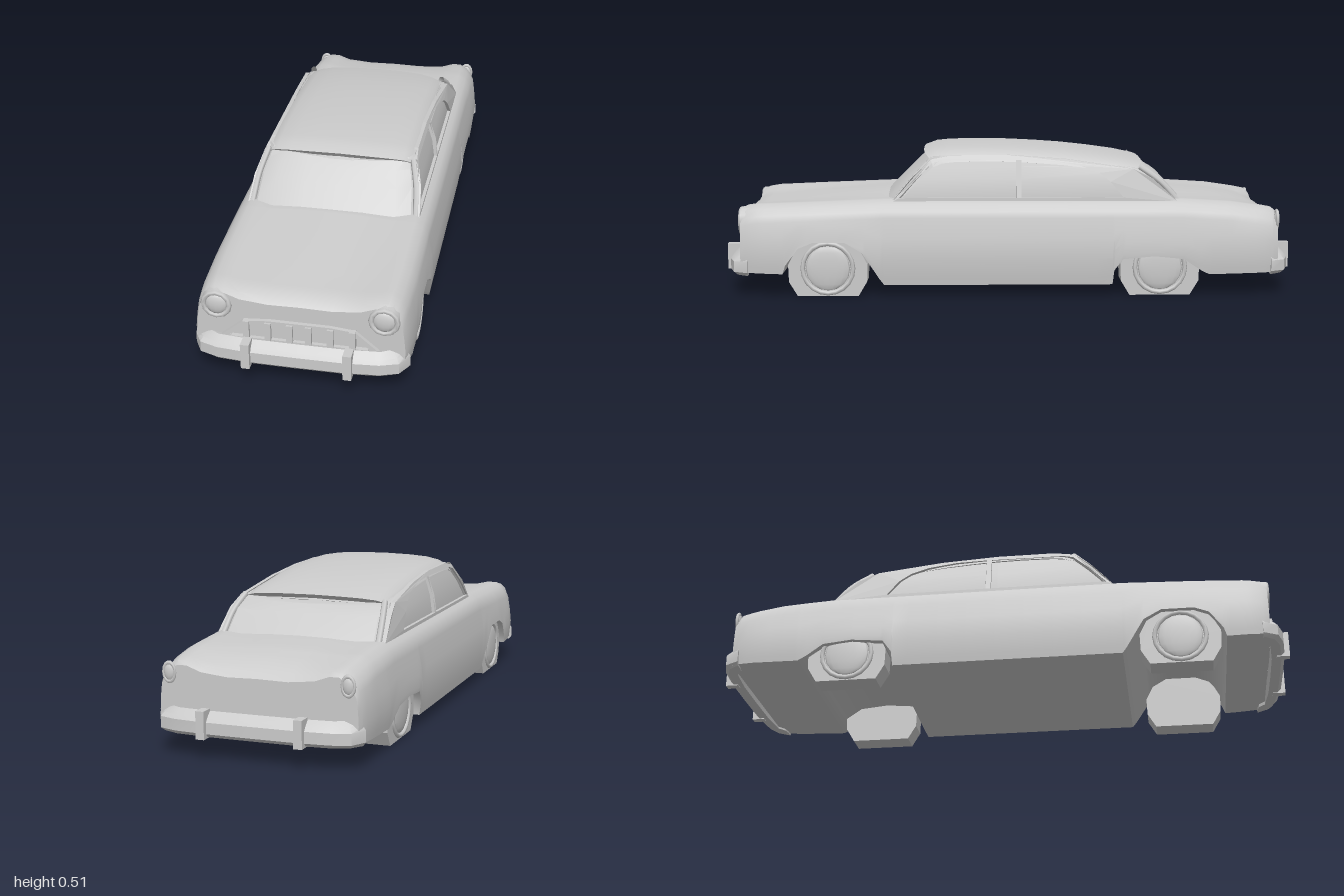
import * as THREE from 'three';
import { toCreasedNormals } from 'three/addons/utils/BufferGeometryUtils.js';

const mat = new THREE.MeshStandardMaterial({ color: 0xcccccc, side: THREE.DoubleSide });

// Linear interpolation in a table of [key, value], keys falling
function at(table, k) {
  if (k >= table[0][0]) return table[0][1];
  for (let i = 1; i < table.length; i++) {
    const [a, va] = table[i - 1], [b, vb] = table[i];
    if (k >= b) return vb + (va - vb) * (k - b) / (a - b);
  }
  return table[table.length - 1][1];
}

// Closed rings joined into a capped solid, turned outward by its signed volume
function loft(rings, crease = 0.6) {
  const n = rings[0].length, pts = rings.flat(), tris = [];
  for (let r = 0; r < rings.length - 1; r++) {
    for (let i = 0; i < n; i++) {
      const a = r * n + i, b = r * n + (i + 1) % n;
      tris.push([a, b, b + n], [a, b + n, a + n]);
    }
  }
  for (const r of [0, rings.length - 1]) {
    const mid = [0, 1, 2].map(k => rings[r].reduce((s, p) => s + p[k], 0) / n);
    const c = pts.push(mid) - 1;
    for (let i = 0; i < n; i++) {
      const a = r * n + i, b = r * n + (i + 1) % n;
      tris.push(r === 0 ? [c, b, a] : [c, a, b]);
    }
  }
  const v = pts.map(p => new THREE.Vector3(...p));
  const volume = tris.reduce((s, [a, b, c]) => s + v[a].dot(v[b].clone().cross(v[c])), 0);
  const g = new THREE.BufferGeometry();
  g.setAttribute('position', new THREE.Float32BufferAttribute(pts.flat(), 3));
  g.setIndex(tris.flatMap(([a, b, c]) => volume < 0 ? [a, c, b] : [a, b, c]));
  return toCreasedNormals(g, crease);
}

// Half section from the middle outward, completed on the other side
const mirrorRing = half => [...half, ...half.slice(1, -1).reverse().map(([x, y, z]) => [-x, y, z])];

const shape = pts => new THREE.Shape(pts.map(p => new THREE.Vector2(...p)));
const extrude = (s, depth) => new THREE.ExtrudeGeometry(s, { depth, bevelEnabled: false });

const BOTTOM = [[.93, .085], [.785, .08], [.775, .11], [.73, .17], [.68, .19], [.57, .19], [.51, .155], [.45, .06],
  [.435, .04], [-.355, .04], [-.36, .09], [-.39, .13], [-.5, .14], [-.6, .13], [-.66, .09], [-.69, .075], [-.93, .08]];
const FENDER = [[.93, .3], [.91, .31], [.87, .316], [.44, .332], [-.6, .331], [-.77, .321], [-.88, .305], [-.915, .298], [-.93, .285]];
const CENTRE = [[.93, .275], [.91, .293], [.87, .303], [.65, .322], [.44, .34], [.3, .333], [-.6, .336], [-.75, .325], [-.85, .306], [-.91, .28], [-.93, .26]];
const WIDTH = [[.93, .945], [.91, .965], [.85, .985], [.7, 1], [-.7, 1], [-.85, .985], [-.91, .96], [-.93, .94]];
const SIDE = [[.31, .315], [.27, .338], [.22, .348], [.15, .356], [.09, .35], [.04, .342]];
const RIDGE = [[.305, .489], [.27, .502], [.22, .507], [.1, .509], [0, .507], [-.1, .502], [-.2, .495], [-.3, .484], [-.4, .469], [-.475, .453]];

// Lower body: sections along the length, with the wheel tunnels in the floor
function bodyGeometry() {
  const zs = new Set([BOTTOM, FENDER, CENTRE, WIDTH].flat().map(p => p[0]));
  for (let z = -.8; z <= .8; z += .1) zs.add(z);
  return loft([...zs].sort((a, b) => b - a).map(z => {
    const yb = at(BOTTOM, z), yf = at(FENDER, z), yc = at(CENTRE, z), w = at(WIDTH, z);
    const half = [[0, yb], [.32, yb]];
    for (const t of [0, .12, .4, .7, 1]) {
      const y = yb + (yf - .06 - yb) * t;
      half.push([at(SIDE, y), y]);
    }
    half.push([.333, yf - .038], [.315, yf - .015], [.288, yf], [.255, yf],
      [.205, yf * .5 + yc * .5 - .005], [.11, yc - .002], [0, yc]);
    return mirrorRing(half.map(([x, y]) => [x * w, y, z]));
  }));
}

const cabinX = y => .297 - 1.55 * Math.max(0, y - .325) ** 2;

// Glass core of the cabin: plan outlines stacked upward
function glassGeometry() {
  const levels = [[.31, .455, -.625], [.335, .435, -.6], [.4, .37, -.54], [.445, .325, -.495], [.47, .3, -.47]];
  return loft(levels.map(([y, zf, zr]) => {
    const w = cabinX(y) - .01;
    const plan = [[0, zf], [.4, zf - .005], [.75, zf - .015], [.93, zf - .035], [1, zf - .06],
      [1, 0], [1, zr + .05], [.9, zr + .02], [.5, zr + .003], [0, zr]];
    return mirrorRing(plan.map(([x, z]) => [x * w, y > .46 ? at(RIDGE, z) - .025 : Math.min(y, at(RIDGE, z) - .027), z]));
  }), .4);
}

// Roof shell with a thin lip, bowed at both ends
function roofGeometry() {
  return loft(RIDGE.map(([z, y]) => {
    const drop = z < -.35 ? .75 : 1;
    const half = [[0, 0], [.1, .002], [.17, .006], [.22, .014], [.245, .024], [.262, .04], [.266, .048], [.25, .05], [.22, .032], [0, .022]];
    return mirrorRing(half.map(([x, d]) => {
      const bow = .035 * (x / .26) ** 4 * THREE.MathUtils.clamp((z + .08) / .38, -1, 1);
      return [x, y - d * drop, z - bow];
    }));
  }));
}

// Cabin side with two window openings, bent to the lean of the cabin
function sideFrameGeometry() {
  const s = shape([[.41, .322], [.345, .4], [.275, .468], [.2, .482], [0, .482], [-.2, .468], [-.43, .435], [-.5, .4], [-.585, .322]]);
  s.holes.push(shape([[.385, .337], [.325, .4], [.27, .455], [.235, .464], [-.022, .466], [-.022, .4], [-.022, .337]]));
  s.holes.push(shape([[-.04, .337], [-.04, .4], [-.04, .466], [-.15, .462], [-.25, .445], [-.31, .422], [-.35, .392], [-.395, .337]]));
  const g = extrude(s, .014).rotateY(-Math.PI / 2), p = g.attributes.position;
  for (let i = 0; i < p.count; i++) p.setX(i, p.getX(i) + cabinX(p.getY(i)) + .001);
  g.computeVertexNormals();
  return g;
}

function tube(pts, r) {
  const curve = new THREE.CatmullRomCurve3(pts.map(p => new THREE.Vector3(...p)));
  return new THREE.TubeGeometry(curve, 12, r, 6);
}

// Bumper: a band bent round in plan, with a slanted upper lip
function bumperGeometry() {
  const plan = [[0, .985], [.15, .984], [.26, .975], [.32, .955], [.348, .905]];
  const ring = (y, back) => plan.map(([x, z]) => [x - (x > .3 ? back * .8 : 0), y, z - (x > .34 ? 0 : back)]);
  const full = h => [...h, ...h.slice(1).map(([x, y, z]) => [-x, y, z])].sort((a, b) => a[0] - b[0]);
  const section = [[.073, .012], [.085, 0], [.122, 0], [.135, .01], [.153, .03], [.148, .045], [.073, .045]];
  const rows = section.map(([y, b]) => full(ring(y, b)));
  return loft(rows[0].map((_, i) => rows.map(r => r[i])), .5);
}

export function createModel() {
  const car = new THREE.Group();
  car.name = 'car';
  const add = (name, g, x = 0, y = 0, z = 0) => {
    const m = new THREE.Mesh(g, mat);
    m.name = name;
    m.position.set(x, y, z);
    car.add(m);
    return m;
  };
  // The same part on the left (+x) and right
  const pair = (name, g, x = 0, y = 0, z = 0) => {
    add(name + 'Left', g, x, y, z);
    add(name + 'Right', g, -x, y, z).scale.x = -1;
  };

  add('body', bodyGeometry());
  add('cabinGlass', glassGeometry());
  add('roof', roofGeometry());
  pair('sideWindowFrame', sideFrameGeometry());
  pair('windscreenPillar', tube([[.284, .325, .4], [.275, .4, .335], [.254, .47, .268]], .011));
  pair('rearWindowPillar', tube([[.275, .325, -.585], [.267, .39, -.525], [.252, .44, -.455]], .011));

  // Headlights in rounded bezels, and upright oval tail lights
  const turn = new THREE.CylinderGeometry(.05, .056, .05, 12, 1).rotateX(Math.PI / 2);
  pair('headlightHousing', turn, .268, .256, .905);
  pair('headlightRing', new THREE.TorusGeometry(.042, .009, 6, 12), .268, .256, .93);
  pair('headlightLens', new THREE.SphereGeometry(.036, 12, 8).scale(1, 1, .35), .268, .256, .929);
  pair('tailLightRing', new THREE.TorusGeometry(.024, .006, 6, 14).scale(.85, 1.25, 1), .3, .26, -.929);
  pair('tailLight', new THREE.SphereGeometry(.024, 12, 8).scale(.8, 1.2, .4), .3, .26, -.928);

  // Grille: surround, cross bar and upright teeth
  const surround = shape([[-.27, .135], [.27, .135], [.18, .212], [.1, .22], [-.1, .22], [-.18, .212]]);
  surround.holes.push(shape([[-.235, .147], [-.17, .2], [.17, .2], [.235, .147]]));
  add('grilleSurround', extrude(surround, .025), 0, 0, .918);
  add('grilleBar', new THREE.BoxGeometry(.35, .044, .016), 0, .178, .93);
  add('grilleLowerBar', new THREE.BoxGeometry(.44, .01, .02), 0, .147, .935);
  for (const x of [.03, .1, .17]) pair('grilleTooth', new THREE.BoxGeometry(.02, .08, .02), x, .174, .94);

  // Bumpers and their upright guards
  for (const [name, s] of [['front', 1], ['rear', -1]]) {
    add(name + 'Bumper', bumperGeometry()).rotation.y = s > 0 ? 0 : Math.PI;
    pair(name + 'BumperGuard', new THREE.BoxGeometry(.028, .09, .045), .163, .115, s * .9775);
  }

  // Wheels: flat-footed tyres with a rim and domed hubcap
  const half = [[.105, 0], [.135, .05], [.137, .11], [.1, .182], [.04, .2]];
  const tyre = extrude(shape([...half, ...half.slice().reverse().map(([z, y]) => [-z, y])]), .085).rotateY(-Math.PI / 2);
  const rim = new THREE.TorusGeometry(.087, .008, 6, 20).rotateY(Math.PI / 2);
  const cap = new THREE.SphereGeometry(.078, 16, 8).scale(.15, 1, 1);
  for (const [name, z] of [['front', .63], ['rear', -.52]]) {
    pair(name + 'Tyre', tyre, .33, 0, z);
    pair(name + 'Rim', rim, .33, .097, z);
    pair(name + 'Hubcap', cap, .329, .097, z);
  }
  return car;
}
